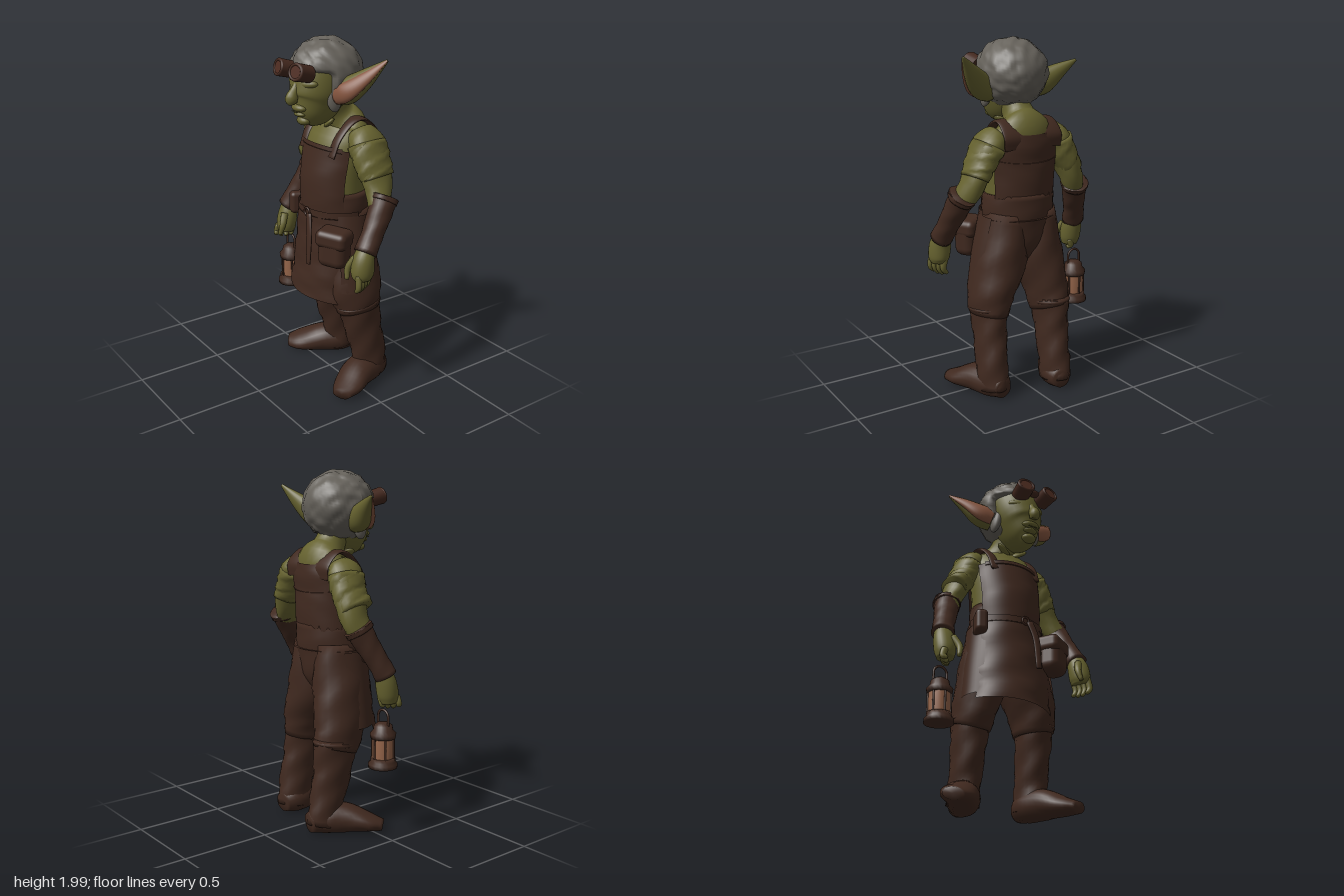
import * as THREE from 'three';
import { RoundedBoxGeometry } from 'three/addons/geometries/RoundedBoxGeometry.js';

const mat = (name, color) => new THREE.MeshStandardMaterial({ name, color });

export function createModel() {
  const group = new THREE.Group();
  const skin = mat('green skin', 0x66622f), leather = mat('brown leather', 0x40291f);
  const hairMat = mat('grey hair', 0x65615a), pink = mat('inner ear pink', 0x85553f);
  const rust = mat('goggle rust', 0x43281e), lensMat = mat('dark lens', 0x4e2c21);
  const amber = mat('lantern amber', 0x946449), shade = mat('dark green', 0x4c4b24);
  const shell = mat('leather cloth', 0x40291f);
  shell.side = THREE.DoubleSide;

  const add = (name, geometry, material, pos, rot) => {
    const m = new THREE.Mesh(geometry, material);
    m.name = name;
    if (pos) m.position.set(...pos);
    if (rot) m.rotation.set(...rot);
    group.add(m);
    return m;
  };

  // Smooth skin over elliptical rings; each row is [x, y, z, radiusU, radiusV]
  function loft(rows, { ref = [1, 0, 0], arc = null, fold = 0, n = 24, floor = -9 } = {}) {
    const path = new THREE.CatmullRomCurve3(rows.map(r => new THREE.Vector3(r[0], r[1], r[2])), false, 'catmullrom');
    const radii = new THREE.CatmullRomCurve3(rows.map(r => new THREE.Vector3(r[3], r[4], 0)), false, 'catmullrom');
    const steps = (rows.length - 1) * 5, row = arc ? n + 1 : n;
    const [t0, t1] = arc || [0, Math.PI * 2];
    const pos = [], idx = [];
    for (let i = 0; i <= steps; i++) {
      const s = i / steps, c = path.getPoint(s), r = radii.getPoint(s), T = path.getTangent(s);
      const u = new THREE.Vector3(...ref);
      u.addScaledVector(T, -u.dot(T)).normalize();
      const v = new THREE.Vector3().crossVectors(u, T);
      for (let j = 0; j < row; j++) {
        const t = t0 + (t1 - t0) * j / n;
        const k = 1 + fold * (Math.sin(3 * t + 17 * s) + Math.sin(5 * t - 31 * s)) * 0.5;
        const p = c.clone().addScaledVector(u, Math.cos(t) * r.x * k).addScaledVector(v, Math.sin(t) * r.y * k);
        pos.push(p.x, Math.max(p.y, floor), p.z);
      }
    }
    for (let i = 0; i < steps; i++) for (let j = 0; j < n; j++) {
      const a = i * row + j, b = i * row + (j + 1) % row;
      idx.push(a, a + row, b, b, a + row, b + row);
    }
    if (!arc) [0, steps].forEach((i, end) => {
      const c = path.getPoint(end), k = pos.length / 3;
      pos.push(c.x, Math.max(c.y, floor), c.z);
      for (let j = 0; j < n; j++) {
        const a = i * n + j, b = i * n + (j + 1) % n;
        end ? idx.push(k, b, a) : idx.push(k, a, b);
      }
    });
    const g = new THREE.BufferGeometry();
    g.setAttribute('position', new THREE.Float32BufferAttribute(pos, 3));
    g.setIndex(idx);
    g.computeVertexNormals();
    return g;
  }
  const tube = (name, rows, material, opts) => add(name, loft(rows, opts), material);
  const ball = (name, pos, scale, material, rot) =>
    add(name, new THREE.SphereGeometry(1, 20, 14), material, pos, rot).scale.set(...scale);
  const PI = Math.PI;

  // Torso and neck
  const body = [[0, 1.0, -.03, .19, .16], [0, 1.2, -.035, .195, .17], [0, 1.35, -.045, .205, .16],
    [0, 1.45, -.07, .205, .14], [0, 1.52, -.085, .165, .115], [0, 1.58, -.045, .09, .09], [.01, 1.67, .01, .08, .085]];
  tube('torso', body, skin);
  const grow = (rows, d) => rows.map(r => [r[0], r[1], r[2], r[3] + d, r[4] + d]);
  const panel = [...body.slice(0, 2), [0, 1.4, -.055, .207, .152]];
  tube('bib', grow(panel, .018), shell, { arc: [.13 * PI, .87 * PI], fold: .012 });
  tube('bibHem', [[0, 1.375, -.05, .225, .174], [0, 1.4, -.055, .227, .174]], shell, { arc: [.2 * PI, .8 * PI] });
  tube('backPanel', grow(body.slice(0, 5), .014), shell, { arc: [1.13 * PI, 1.87 * PI], fold: .008 });
  for (const s of [1, -1]) {
    tube('shoulderStrap', [[.135 * s, 1.37, .088, .03, .01], [.14 * s, 1.47, .045, .03, .01],
      [.14 * s, 1.55, -.04, .034, .012], [.125 * s, 1.555, -.12, .055, .012], [.115 * s, 1.49, -.19, .07, .008], [.11 * s, 1.42, -.192, .07, .005]], leather);
    ball('collar', [.05 * s, 1.54, .04], [.055, .015, .03], skin, [.5, 0, .55 * s]);
  }

  // Trousers, belt and apron skirt
  tube('hips', [[0, .77, -.045, .05, .09], [0, .87, -.045, .16, .15], [0, 1.02, -.037, .208, .178], [0, 1.16, -.035, .205, .184]], leather, { fold: .015 });
  tube('belt', [[0, 1.025, -.035, .225, .197], [0, 1.065, -.035, .225, .197]], shell, { arc: [0, PI] });
  tube('apronSkirt', [[-.01, .54, .0, .255, .205], [0, .7, -.01, .25, .195], [0, .88, -.02, .235, .19], [0, 1.05, -.035, .222, .192]],
    shell, { arc: [.12 * PI, .88 * PI], fold: .025 });
  for (const [a, b] of [[-.12, .2], [.8, 1.12]])
    tube('apronSide', [[.015, .6, -.01, .288, .18], [.01, .8, -.02, .265, .185], [0, 1.03, -.035, .228, .192]],
      shell, { arc: [a * PI, b * PI], n: 10 });

  // Pouches, buckle and hanging strap
  add('largePouch', new RoundedBoxGeometry(.17, .2, .13, 4, .05), leather, [.222, .88, .125], [0, .5, -.06]);
  add('pouchFlap', new RoundedBoxGeometry(.185, .1, .145, 4, .035), leather, [.22, .945, .125], [0, .5, -.06]);
  add('smallPouch', new RoundedBoxGeometry(.07, .13, .12, 4, .025), leather, [-.215, 1.015, .06], [0, -.35, 0]);
  tube('strapTail', [[.04, 1.04, .17, .022, .01], [.07, .93, .187, .022, .01], [.075, .76, .2, .018, .009]], leather);
  add('buckle', new THREE.TorusGeometry(.022, .006, 8, 20), rust, [.015, 1.045, .165]);

  // Legs: trousers, rolled cuffs, boots
  const legs = [
    { thigh: [[.095, 1.05, -.045, .11, .15], [.12, .8, -.045, .145, .165], [.185, .6, -.045, .125, .16], [.205, .47, -.055, .105, .135]],
      boot: [[.205, .53, -.05, .1, .135], [.215, .36, -.08, .09, .115], [.225, .2, -.115, .086, .105], [.225, .05, -.13, .086, .105]],
      foot: [[.215, .07, -.225, .05, .055], [.22, .08, -.14, .09, .085], [.255, .08, -.02, .095, .085], [.31, .055, .09, .09, .052], [.345, .04, .165, .055, .032]] },
    { thigh: [[-.095, 1.05, -.045, .11, .15], [-.115, .8, -.055, .14, .165], [-.15, .6, -.09, .12, .155], [-.16, .47, -.13, .105, .135]],
      boot: [[-.16, .53, -.125, .1, .138], [-.16, .36, -.145, .09, .118], [-.155, .2, -.18, .084, .105], [-.155, .05, -.205, .084, .105]],
      foot: [[-.135, .07, -.295, .05, .055], [-.155, .08, -.2, .088, .085], [-.215, .08, -.1, .092, .085], [-.305, .055, .0, .09, .052], [-.36, .04, .055, .055, .032]] }];
  for (const { thigh, boot, foot } of legs) {
    tube('trouserLeg', thigh, leather, { fold: .035 });
    tube('bootShaft', boot, leather, { fold: .06 });
    tube('bootFoot', foot, leather, { floor: .008, fold: .015 });
    const [x, y, z] = boot[0];
    add('bootCuff', new THREE.TorusGeometry(.098, .012, 8, 28), leather, [x, y - .02, z], [PI / 2 + .12, 0, 0]).scale.set(1, 1.28, 1);
  }

  // Arms: upper arm, ragged sleeve, bracer, hand
  const arms = [
    { upper: [[.16, 1.49, -.09, .065, .08], [.22, 1.44, -.09, .08, .11], [.275, 1.34, -.09, .07, .105], [.33, 1.22, -.085, .06, .085], [.385, 1.12, -.05, .055, .06]],
      bracer: [[.38, 1.185, -.09, .072, .075], [.398, 1.09, -.035, .068, .066], [.415, 1, .02, .06, .06], [.43, .915, .075, .064, .062]],
      palm: [[.425, .95, .055, .045, .042], [.43, .88, .085, .06, .06], [.435, .81, .095, .058, .065], [.435, .775, .095, .045, .05]],
      tip: [.425, .7, .1], across: [.4, .92] },
    { upper: [[-.16, 1.49, -.09, .065, .08], [-.21, 1.44, -.095, .076, .105], [-.255, 1.34, -.105, .07, .1], [-.305, 1.22, -.115, .06, .085], [-.345, 1.12, -.09, .055, .06]],
      bracer: [[-.335, 1.175, -.115, .072, .075], [-.365, 1.08, -.07, .066, .066], [-.395, 1, -.03, .06, .06], [-.42, .915, .01, .066, .06]],
      palm: [[-.415, .95, -.005, .045, .042], [-.415, .88, .015, .06, .055], [-.415, .81, .03, .06, .058], [-.415, .765, .035, .048, .045]],
      tip: [-.41, .73, .055], across: [.55, .83] }];
  for (const { upper, bracer, palm, tip, across } of arms) {
    const [px, py, pz] = palm[3], s = Math.sign(px);
    tube('upperArm', upper, skin, { fold: .04 });
    tube('sleeve', [...grow(upper.slice(1, 3), .006), [s * .308, 1.27, -.095, .068, .1]], skin, { fold: .06 });
    tube('bracer', bracer, leather, { fold: .03 });
    tube('bracerRim', grow([bracer[0], bracer[1].map((v, i) => bracer[0][i] + (v - bracer[0][i]) * .25)], .006), leather, { fold: .06 });
    tube('hand', palm, skin);
    for (let i = 0; i < 4; i++) {
      const d = (i - 1.5) * .03, x = px + across[0] * d * s, z = pz + across[1] * d;
      tube('finger', [[x, py + .035, z, .02, .018], [x + .012 * s, (py + tip[1]) / 2 + .01, z + .005, .019, .017],
        [x + tip[0] - px, tip[1] + Math.abs(d) * .3, z + tip[2] - pz, .011, .011]], skin, { n: 10 });
    }
    tube('thumb', [[px - .03 * s, py + .12, pz + .025, .022, .022], [px - .055 * s, py + .06, pz + .055, .019, .019],
      [px - .045 * s, py, pz + .07, .012, .012]], skin, { n: 10 });
  }

  // Lantern hanging from the right hand
  const lx = -.42, lz = -.005;
  const lathe = (name, pts, material) =>
    add(name, new THREE.LatheGeometry(pts.map(p => new THREE.Vector2(...p)), 20), material, [lx, 0, lz]);
  lathe('lanternBase', [[0, .41], [.08, .41], [.08, .432], [.068, .445], [.068, .465], [0, .465]], leather);
  lathe('lanternGlass', [[.058, .46], [.06, .53], [.056, .6]], amber);
  lathe('lanternCap', [[0, .575], [.068, .575], [.072, .6], [.054, .62], [.05, .645], [.03, .66], [0, .665]], leather);
  for (let i = 0; i < 6; i++) {
    const a = i * PI / 3 + .5;
    add('lanternPost', new THREE.CylinderGeometry(.006, .006, .13, 8), leather, [lx + .061 * Math.cos(a), .52, lz + .061 * Math.sin(a)]);
  }
  add('lanternHandle', new THREE.TorusGeometry(.04, .007, 8, 20, PI), leather, [lx, .69, lz]);
  for (const s of [1, -1]) add('handleSide', new THREE.CylinderGeometry(.007, .007, .07, 8), leather, [lx + .04 * s, .657, lz]);

  // Head and face
  tube('head', [[.025, 1.55, .17, .03, .038], [.025, 1.59, .145, .075, .098], [.02, 1.65, .11, .112, .142], [.015, 1.71, .09, .137, .158],
    [.005, 1.79, .065, .148, .166], [0, 1.86, .04, .145, .155], [0, 1.92, .02, .1, .11]], skin, { n: 32 });
  tube('nose', [[.015, 1.785, .21, .022, .018], [.018, 1.735, .235, .023, .027], [.02, 1.695, .258, .032, .036], [.02, 1.67, .248, .024, .024]], skin, { n: 16 });
  ball('upperLip', [.022, 1.642, .21], [.055, .024, .038], skin);
  ball('lowerLip', [.022, 1.608, .207], [.042, .016, .03], skin);
  ball('mouthLine', [.022, 1.622, .238], [.034, .003, .004], shade);
  ball('chin', [.025, 1.57, .188], [.045, .026, .033], skin);
  for (const s of [1, -1]) {
    ball('brow', [.012 + s * .06, 1.772, .19], [.062, .025, .032], skin, [0, s * .4, s * .1]);
    ball('eye', [.014 + s * .058, 1.735, .208], [.024, .008, .012], shade, [0, s * .4, 0]);
  }

  // Ears, each with a pink hollow on the side facing forward and out
  const ears = [
    [[.13, 1.715, .03, .055, .066], [.2, 1.745, .012, .06, .072], [.28, 1.815, -.035, .04, .05], [.37, 1.91, -.095, .006, .008]],
    [[-.13, 1.72, .03, .055, .064], [-.2, 1.745, .012, .058, .072], [-.28, 1.8, -.02, .038, .045], [-.37, 1.86, -.06, .006, .008]]];
  for (const rows of ears) {
    tube('ear', rows, skin, { ref: [0, 0, 1] });
    tube('earHollow', rows.map(([x, y, z, a, b]) =>
      [x + Math.sign(x) * a * .33, y - b * .06, z + a * .68, a * .5, b * .74]), pink, { ref: [0, 0, 1] });
  }

  // Tousled hair cap, tucked inside the head around the face
  const hair = new THREE.SphereGeometry(1, 64, 48), hp = hair.attributes.position;
  for (let i = 0; i < hp.count; i++) {
    const v = new THREE.Vector3().fromBufferAttribute(hp, i);
    const lump = Math.sin(9 * v.x + 4 * v.y) * Math.sin(8 * v.y - 3 * v.z) * Math.sin(10 * v.z + 2 * v.x);
    const tuft = Math.sin(17 * v.x + 9 * v.y + 3 * lump) * Math.sin(15 * v.z - 11 * v.y + 2 * v.x);
    const tuck = THREE.MathUtils.smoothstep(v.z, .3, .5) * THREE.MathUtils.smoothstep(-v.y, -.22, -.02);
    const k = (1 + .04 * lump + .018 * tuft) * (1 - .4 * tuck);
    const low = v.y < 0 ? 1.07 : 1;
    hp.setXYZ(i, v.x * .194 * k, 1.808 + v.y * .186 * k * low, .025 + v.z * .206 * k);
  }
  hair.computeVertexNormals();
  add('hair', hair, hairMat);
  for (const s of [1, -1]) ball('sideburn', [s * .13 + .005, 1.7, .07], [.028, .08, .045], hairMat, [0, 0, s * .2]);

  // Goggles pushed up on the forehead
  for (const s of [1, -1]) {
    const goggle = new THREE.Group();
    goggle.name = 'goggle';
    goggle.position.set(.028 + s * .076, 1.842, .245);
    goggle.rotation.set(-.25, s * .15, 0, 'YXZ');
    goggle.scale.set(1.08, .95, 1);
    const put = (name, geometry, material, z, turn) => {
      const m = new THREE.Mesh(geometry, material);
      m.name = name;
      m.position.z = z;
      m.rotation.x = turn;
      goggle.add(m);
    };
    put('goggleCup', new THREE.CylinderGeometry(.05, .048, .09, 24), rust, 0, PI / 2);
    put('goggleRim', new THREE.TorusGeometry(.042, .009, 10, 28), rust, .045, 0);
    put('goggleLens', new THREE.CylinderGeometry(.038, .038, .006, 24), lensMat, .046, PI / 2);
    group.add(goggle);
  }
  ball('goggleBridge', [.028, 1.85, .24], [.045, .02, .025], rust);

  return group;
}
